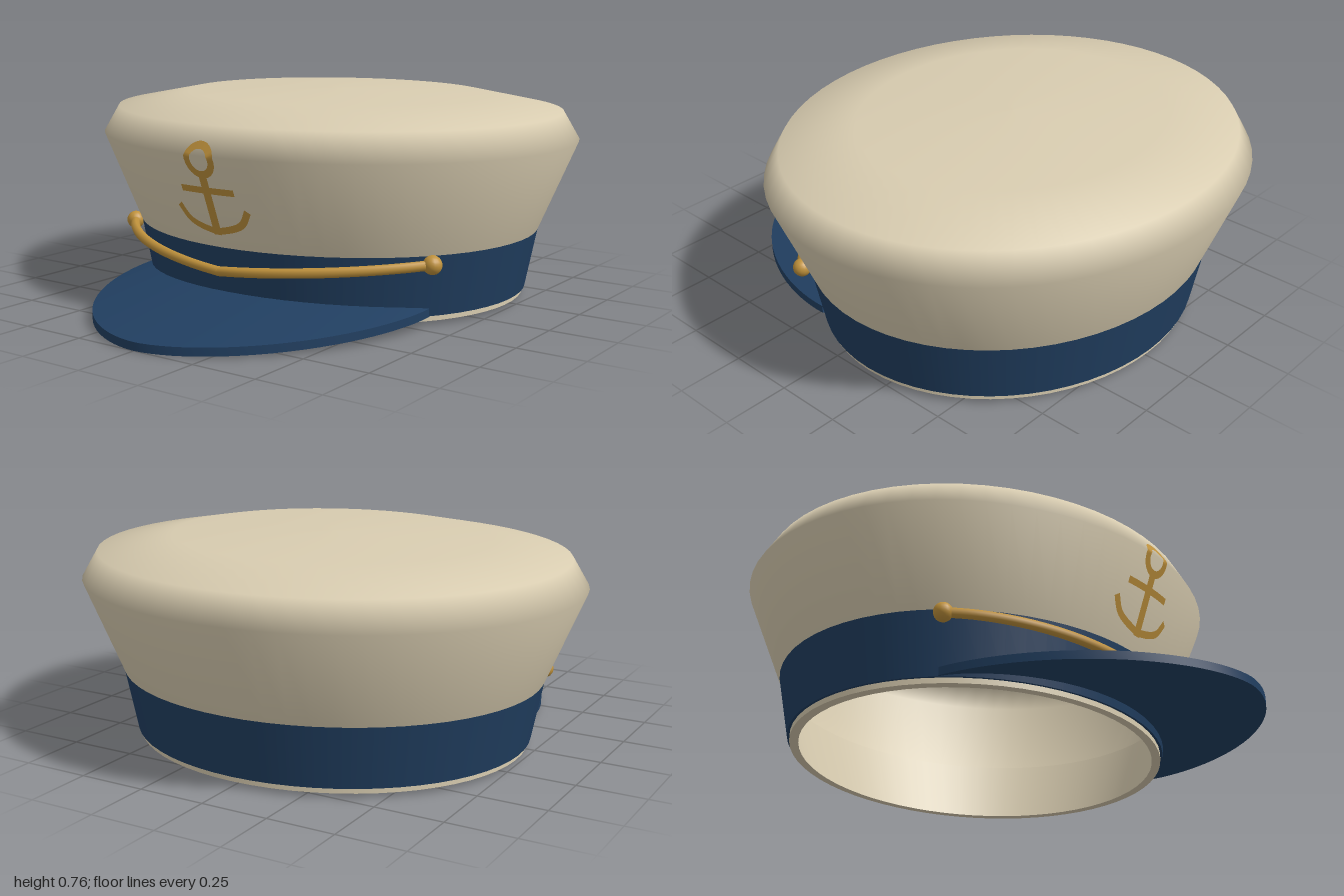
import * as THREE from 'three';

const DEPTH = 0.88, CZ = -0.167; // oval ratio and centre of the cap body
const cream = new THREE.MeshStandardMaterial({ name: 'cream cloth', color: 0xd8ccb0, side: THREE.DoubleSide });
const navy = new THREE.MeshStandardMaterial({ name: 'navy cloth', color: 0x213f61, side: THREE.DoubleSide });
const gold = new THREE.MeshStandardMaterial({ name: 'gold trim', color: 0xc0923c, side: THREE.DoubleSide });

const crownProfile = [[0.8, 0.26], [0.945, 0.6], [0.885, 0.7], [0.6, 0.755], [0, 0.765]];

function add(group, name, geometry, material) {
  const mesh = new THREE.Mesh(geometry, material);
  mesh.name = name;
  group.add(mesh);
  return mesh;
}

// Oval lathe around the cap's axis
function oval(profile) {
  const g = new THREE.LatheGeometry(profile.map(([r, y]) => new THREE.Vector2(r, y)), 64);
  return g.scale(1, 1, DEPTH).translate(0, 0, CZ);
}

function crownRadius(y) {
  const i = y < 0.6 ? 0 : 1;
  const [r0, y0] = crownProfile[i], [r1, y1] = crownProfile[i + 1];
  return r0 + (r1 - r0) * (y - y0) / (y1 - y0);
}

// Front surface depth of an oval of radius r at a given x
const frontZ = (r, x) => CZ + DEPTH * Math.sqrt(r * r - x * x);

// Grid of rows (arrays of Vector3) joined into a surface
function loft(rows) {
  const pos = [], idx = [], n = rows[0].length;
  rows.forEach(row => row.forEach(p => pos.push(p.x, p.y, p.z)));
  for (let i = 0; i < rows.length - 1; i++) {
    for (let j = 0; j < n - 1; j++) {
      const a = i * n + j, b = a + 1, c = a + n, d = c + 1;
      idx.push(a, b, d, a, d, c);
    }
  }
  const g = new THREE.BufferGeometry();
  g.setAttribute('position', new THREE.Float32BufferAttribute(pos, 3));
  g.setIndex(idx);
  g.computeVertexNormals();
  return g;
}

// Flat stroke laid onto the curved front of the crown
function stroke(curve, width, offset, steps = 24) {
  const rows = [];
  for (let i = 0; i <= steps; i++) {
    const p = curve.getPoint(i / steps), t = curve.getTangent(i / steps);
    rows.push([1, -1].map(s => {
      const x = p.x - t.y * s * width / 2, y = p.y + t.x * s * width / 2;
      return new THREE.Vector3(x, y, frontZ(crownRadius(y) + offset, x));
    }));
  }
  return loft(rows);
}

function makeAnchor() {
  const anchor = new THREE.Group();
  anchor.name = 'anchorBadge';
  const v = (x, y) => new THREE.Vector2(x, y);
  const arm = s => new THREE.SplineCurve([v(0, 0.322), v(s * 0.07, 0.338), v(s * 0.118, 0.362), v(s * 0.15, 0.41)]);
  // the badge shows on the outside and on the inside of the cloth
  for (const offset of [0.006, -0.006]) {
    add(anchor, 'anchorRing', stroke(new THREE.EllipseCurve(0, 0.585, 0.052, 0.052), 0.026, offset, 32), gold);
    add(anchor, 'anchorShank', stroke(new THREE.LineCurve(v(0, 0.31), v(0, 0.535)), 0.034, offset), gold);
    add(anchor, 'anchorStock', stroke(new THREE.LineCurve(v(-0.115, 0.475), v(0.115, 0.475)), 0.024, offset), gold);
    for (const s of [-1, 1]) add(anchor, 'anchorArm', stroke(arm(s), 0.025, offset), gold);
  }
  return anchor;
}

function makeVisor() {
  const visor = new THREE.Group();
  visor.name = 'visor';
  const steps = 48, thick = 0.03;
  const outer = [], inner = [];
  for (let i = 0; i <= steps; i++) {
    const a = Math.PI * i / steps, c = Math.cos(a), s = Math.max(0, Math.sin(a));
    const x = 0.64 * Math.sign(c) * Math.abs(c) ** 1.12;
    outer.push(new THREE.Vector3(x, 0.065 - 0.035 * s, 0.2 + 0.8 * s ** 1.12));
    // inner edge tucked just inside the band
    const xi = x * 0.98;
    inner.push(new THREE.Vector3(xi, 0.066 + 0.03 * s, frontZ(0.745, xi)));
  }
  const lower = row => row.map(p => p.clone().setY(p.y - thick));
  add(visor, 'visorTop', loft([outer, inner]), navy);
  add(visor, 'visorUnderside', loft([lower(inner), lower(outer)]), navy);
  add(visor, 'visorEdge', loft([lower(outer), outer]), navy);
  return visor;
}

function makeCord() {
  const cord = new THREE.Group();
  cord.name = 'goldCord';
  const point = x => new THREE.Vector3(x, 0.18 + 0.055 * Math.abs(x) / 0.68, frontZ(0.829, x));
  for (const s of [-1, 1]) {
    const pts = [];
    for (let i = 0; i <= 10; i++) pts.push(point(s * 0.68 * i / 10));
    add(cord, 'cordHalf', new THREE.TubeGeometry(new THREE.CatmullRomCurve3(pts), 32, 0.018, 8), gold);
    const button = add(cord, 'cordButton', new THREE.SphereGeometry(0.034, 16, 12), gold);
    button.position.copy(point(s * 0.68));
  }
  // joint at the middle of the cord
  add(cord, 'cordJoint', new THREE.SphereGeometry(0.018, 8, 6), gold).position.copy(point(0));
  return cord;
}

export function createModel() {
  const cap = new THREE.Group();
  cap.name = 'peakedCap';
  add(cap, 'crown', oval(crownProfile), cream);
  add(cap, 'band', oval([[0.755, 0.035], [0.8, 0.26]]), navy);
  add(cap, 'bandUnderside', oval([[0.74, 0.035], [0.755, 0.035]]), navy);
  // sweatband lining with its bottom rim
  add(cap, 'liningOuter', oval([[0.745, 0.015], [0.745, 0.04]]), cream);
  add(cap, 'liningRim', oval([[0.71, 0.015], [0.745, 0.015]]), cream);
  add(cap, 'liningInner', oval([[0.797, 0.262], [0.71, 0.015]]), cream);
  cap.add(makeAnchor(), makeVisor(), makeCord());
  return cap;
}
